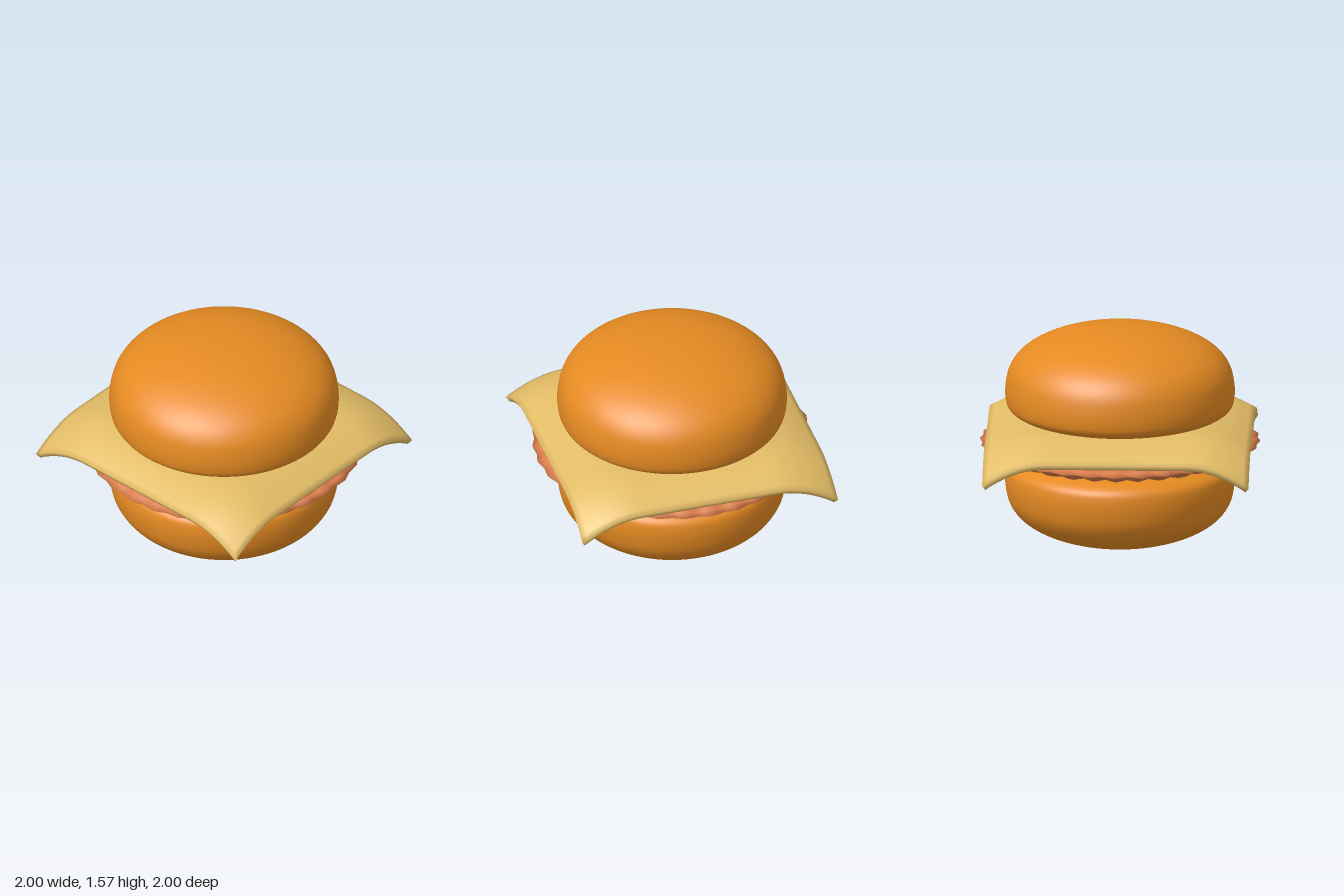
import * as THREE from 'three';
import { mergeVertices } from 'three/addons/utils/BufferGeometryUtils.js';

const MID = 0.785; // height the two buns mirror about

const mat = (color) => new THREE.MeshStandardMaterial({ color });

// Weld a geometry so that it shades smoothly all round
function weld(geo) {
  geo.deleteAttribute('uv');
  geo.deleteAttribute('normal');
  const welded = mergeVertices(geo, 1e-4);
  welded.computeVertexNormals();
  return welded;
}

function curvePoints(pairs, n) {
  const curve = new THREE.SplineCurve(pairs.map(([r, y]) => new THREE.Vector2(r, y)));
  return curve.getPoints(n).map((p) => new THREE.Vector2(Math.max(p.x, 0), p.y));
}

// Bun: flat side inwards, dome outwards; the lower one is the upper one turned over
function bun(name, upsideDown) {
  let points = curvePoints([
    [0, 0.93], [0.35, 0.93], [0.6, 0.934], [0.72, 0.956], [0.795, 1.0], [0.817, 1.07],
    [0.814, 1.17], [0.785, 1.28], [0.71, 1.38], [0.58, 1.463], [0.4, 1.526], [0.2, 1.56], [0, 1.57],
  ], 60);
  if (upsideDown) points = points.map((p) => new THREE.Vector2(p.x, 2 * MID - p.y)).reverse();
  const mesh = new THREE.Mesh(new THREE.LatheGeometry(points, 96), mat(0xe58a22));
  mesh.name = name;
  return mesh;
}

// Patty: lens-shaped disc with a fluted rim
function patty() {
  const points = [
    [0, 0.62], [0.6, 0.628], [0.7, 0.638], [0.8, 0.655], [0.9, 0.69], [0.96, 0.722], [1, 0.745],
    [0.96, 0.77], [0.9, 0.797], [0.8, 0.83], [0.65, 0.86], [0, 0.87],
  ].map(([r, y]) => new THREE.Vector2(r, y));
  const geo = new THREE.LatheGeometry(points, 128);
  const pos = geo.attributes.position;
  for (let i = 0; i < pos.count; i++) {
    const x = pos.getX(i), y = pos.getY(i), z = pos.getZ(i);
    const r = Math.hypot(x, z);
    const wave = (Math.cos(32 * Math.atan2(x, z)) - 1) / 2;
    const weight = THREE.MathUtils.smoothstep(r, 0.5, 0.85);
    const s = 1 + 0.018 * wave * weight;
    const flute = r < 0.99 ? 0.016 * wave * weight * Math.sign(y - 0.745) : 0;
    pos.setXYZ(i, x * s, y + flute, z * s);
  }
  const mesh = new THREE.Mesh(weld(geo), mat(0xd87c4a));
  mesh.name = 'patty';
  return mesh;
}

// Cheese: square slice whose edges and corners droop
function cheese() {
  const half = 0.95, thickness = 0.045;
  const bend = (u) => Math.max(0, (Math.abs(u) - 0.5) / 0.45) ** 2;
  const height = (x, z) => 0.95 - 0.13 * (bend(x) + bend(z)) - 0.03 * bend(x) * bend(z);
  const geo = new THREE.BoxGeometry(half * 2, thickness, half * 2, 48, 1, 48);
  const pos = geo.attributes.position;
  const e = 1e-3, n = new THREE.Vector3(), p = new THREE.Vector3();
  for (let i = 0; i < pos.count; i++) {
    const x = pos.getX(i), z = pos.getZ(i);
    p.set(x, height(x, z), z);
    if (pos.getY(i) < 0) {
      // underside follows the top along its normal
      n.set(height(x - e, z) - height(x + e, z), 2 * e, height(x, z - e) - height(x, z + e)).normalize();
      p.addScaledVector(n, -thickness);
    }
    pos.setXYZ(i, p.x, p.y, p.z);
  }
  const mesh = new THREE.Mesh(weld(geo), mat(0xe2bc66));
  mesh.name = 'cheeseSlice';
  return mesh;
}

export function createModel() {
  const group = new THREE.Group();
  group.name = 'burger';
  group.add(bun('bottomBun', true), patty(), cheese(), bun('topBun', false));
  return group;
}
